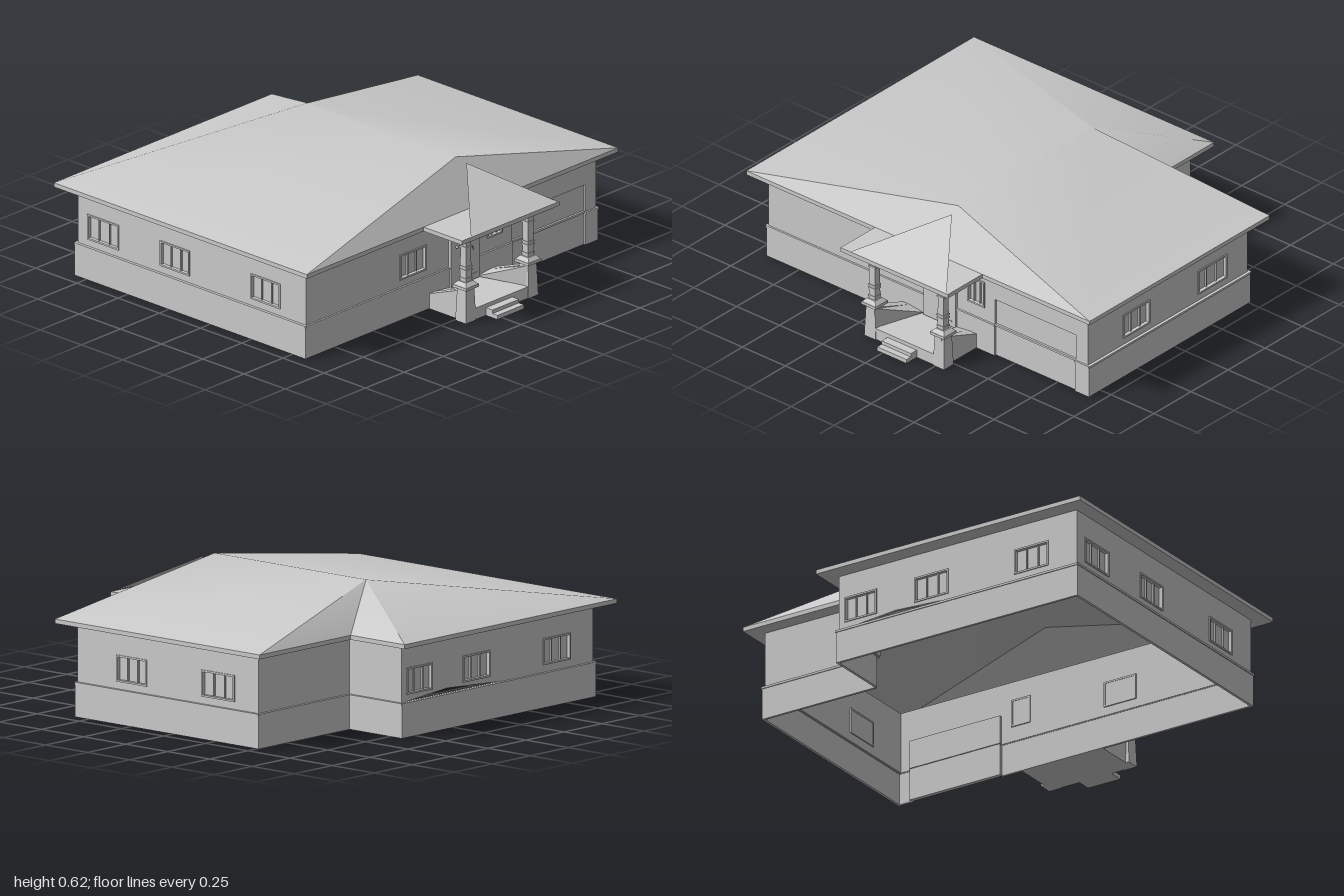
import * as THREE from 'three';
import { toCreasedNormals } from 'three/addons/utils/BufferGeometryUtils.js';

const mat = new THREE.MeshStandardMaterial({ color: 0xcccccc });
const thin = new THREE.MeshStandardMaterial({ color: 0xcccccc, side: THREE.DoubleSide });

function add(parent, name, geo, x = 0, y = 0, z = 0, m = mat) {
  const mesh = new THREE.Mesh(geo, m);
  mesh.name = name;
  mesh.position.set(x, y, z);
  parent.add(mesh);
  return mesh;
}

// Box given by its limits on each axis
function box(parent, name, x0, x1, y0, y1, z0, z1) {
  return add(parent, name, new THREE.BoxGeometry(x1 - x0, y1 - y0, z1 - z0),
    (x0 + x1) / 2, (y0 + y1) / 2, (z0 + z1) / 2);
}

const shapeOf = (pts) => new THREE.Shape(pts.map(([x, y]) => new THREE.Vector2(x, y)));
const rect = ([a, b, c, d]) => [[a, c], [b, c], [b, d], [a, d]];
const extrude = (shape, depth) => new THREE.ExtrudeGeometry(shape, { depth, bevelEnabled: false });

function surface(points, index) {
  const geo = new THREE.BufferGeometry();
  geo.setAttribute('position', new THREE.Float32BufferAttribute(points.flat(), 3));
  geo.setIndex(index);
  return toCreasedNormals(geo, 0.5);
}

// Group whose x runs along a wall and whose z points outwards
function wallFrame(parent, name, [x0, z0], [x1, z1]) {
  const g = new THREE.Group();
  g.name = name;
  g.position.set(x0, 0, z0);
  g.rotation.y = Math.atan2(z0 - z1, x1 - x0);
  parent.add(g);
  return [g, Math.hypot(x1 - x0, z1 - z0)];
}

// Recessed pane, frame and two mullions
function addWindow(parent, [a, b, c, d]) {
  const t = 0.008, g = new THREE.Group();
  g.name = 'window';
  parent.add(g);
  box(g, 'pane', a, b, c, d, -0.016, -0.012);
  for (const y of [c, d - t]) box(g, 'frameRail', a, b, y, y + t, -0.018, 0.005);
  for (const x of [a, b - t]) box(g, 'frameStile', x, x + t, c + t, d - t, -0.018, 0.005);
  for (const k of [1, 2]) {
    const x = a + (b - a) * k / 3;
    box(g, 'mullion', x - 0.003, x + 0.003, c + t, d - t, -0.014, -0.004);
  }
}

function addUpperWalls(house) {
  const corners = [[-0.81, 0.93], [0.575, 0.93], [0.575, -0.93], [-0.5, -0.93], [-0.5, -0.33], [-0.81, -0.33]];
  const names = ['front', 'right', 'back', 'inset', 'insetBack', 'left'];
  const windows = {
    front: [[0.06, 0.25], [0.5, 0.68], [1.05, 1.23]],
    right: [[0.6, 0.77], [1.16, 1.26, 0.22, 0.35]],
    back: [[0.235, 0.415], [0.74, 0.935]],
    left: [[0.03, 0.2], [0.4, 0.58], [0.93, 1.11]],
  };
  const openings = {
    right: [rect([1.32, 1.79, 0.16, 0.285])],          // garage
    left: [[[0.02, 0.158], [0.66, 0.158], [0.3, 0.18]]], // gap above the plinth
  };
  names.forEach((name, i) => {
    const [g, len] = wallFrame(house, name + 'Wall', corners[i], corners[(i + 1) % 6]);
    const wins = (windows[name] || []).map(([a, b, c = 0.19, d = 0.31]) => [a, b, c, d]);
    const shape = shapeOf(rect([0, len, 0.15, 0.43]));
    for (const h of [...wins.map(rect), ...(openings[name] || [])]) shape.holes.push(shapeOf(h));
    add(g, 'wallPanel', extrude(shape, 0.012), 0, 0, -0.012);
    wins.forEach((w) => addWindow(g, w));
  });
}

function addPlinth(house) {
  const c = [[-0.82, 0.94], [0.58, 0.94], [0.58, -0.94], [-0.51, -0.94], [-0.51, -0.34], [-0.82, -0.34]];
  const runs = [[c[0], c[1]], [c[1], [0.58, -0.39]], [[0.58, -0.86], c[2]],
    [c[2], c[3]], [c[3], c[4]], [c[4], c[5]], [c[5], c[0]]];
  for (const [p, q] of runs) {
    const [g, len] = wallFrame(house, 'plinth', p, q);
    box(g, 'plinthWall', 0, len, 0, 0.147, -0.012, 0);
    box(g, 'plinthLedge', 0, len, 0.147, 0.157, -0.014, 0.004);
  }
}

function addRoof(house) {
  const eave = [[-0.89, 1], [0.645, 1], [0.645, -1], [-0.57, -1], [-0.57, -0.4], [-0.89, -0.4]];
  // Corners 0-5 are the eave, 6 and 7 the ends of the ridge
  const pts = [...eave.map(([x, z]) => [x, 0.44, z]), [-0.4, 0.625, -0.11], [0.5, 0.625, -0.11]];
  add(house, 'roof', surface(pts,
    [0, 1, 7, 0, 7, 6, 1, 2, 7, 2, 3, 6, 2, 6, 7, 3, 4, 6, 4, 5, 6, 5, 0, 6]), 0, 0, 0, thin);
  // Eave board and soffit, open over the rooms
  const shape = shapeOf(eave.map(([x, z]) => [x, -z]));
  shape.holes.push(shapeOf([[-0.8, -0.92], [0.565, -0.92], [0.565, 0.92], [-0.49, 0.92], [-0.49, 0.32], [-0.8, 0.32]]));
  add(house, 'eave', extrude(shape, 0.02), 0, 0.42, 0).rotation.x = -Math.PI / 2;
}

function addDoors(house) {
  const door = new THREE.Group();
  door.name = 'frontDoor';
  house.add(door);
  box(door, 'doorLeaf', 0.57, 0.59, 0.06, 0.37, -0.17, 0.015);
  for (const y of [0.085, 0.36]) box(door, 'doorTrim', 0.589, 0.593, y, y + 0.005, -0.15, -0.06);
  add(door, 'knob', new THREE.SphereGeometry(0.007, 10, 8), 0.597, 0.25, -0.015);
  add(door, 'knocker', new THREE.TorusGeometry(0.02, 0.003, 6, 12, Math.PI), 0.594, 0.205, -0.105).rotation.y = Math.PI / 2;
  box(house, 'garageDoorTop', 0.55, 0.565, 0.153, 0.287, -0.865, -0.385);
  box(house, 'garageDoorBottom', 0.55, 0.57, 0, 0.15, -0.865, -0.385);
}

// Square tapered block; bottom and top are full widths
function block(parent, name, bottom, top, y0, y1) {
  const geo = new THREE.CylinderGeometry(top / Math.SQRT2, bottom / Math.SQRT2, y1 - y0, 4).toNonIndexed();
  geo.rotateY(Math.PI / 4);
  geo.computeVertexNormals();
  return add(parent, name, geo, 0, (y0 + y1) / 2, 0);
}

function addPorch(house) {
  const porch = new THREE.Group();
  porch.name = 'porch';
  house.add(porch);
  const mid = -0.07;
  box(porch, 'porchFloor', 0.575, 0.815, 0, 0.055, mid - 0.21, mid + 0.21);
  box(porch, 'upperStep', 0.81, 0.855, 0, 0.037, -0.14, 0.03);
  box(porch, 'lowerStep', 0.81, 0.885, 0, 0.02, -0.14, 0.03);

  for (const s of [1, -1]) {
    // Sloping side wall and the triangular face leaning in to the door
    const side = shapeOf([[0.575, 0], [0.815, 0], [0.815, 0.16], [0.575, 0.07]]);
    add(porch, 'sideWall', extrude(side, 0.04), 0, 0, mid + s * 0.195 - 0.02);
    const outer = mid + s * 0.175, inner = mid + s * 0.095;
    add(porch, 'sideSlope', surface(
      [[0.575, 0.07, outer], [0.575, 0.06, inner], [0.815, 0.056, outer], [0.815, 0.155, outer]],
      [0, 1, 3, 1, 2, 3]), 0, 0, 0, thin);

    // Pedestal, cap and stepped column
    const column = new THREE.Group();
    column.name = 'column';
    column.position.set(0.787, 0, mid + s * 0.2);
    porch.add(column);
    block(column, 'pedestal', 0.065, 0.053, 0, 0.162);
    block(column, 'capSlab', 0.084, 0.084, 0.16, 0.173);
    block(column, 'capSlope', 0.08, 0.048, 0.173, 0.19);
    block(column, 'shaft', 0.036, 0.032, 0.19, 0.425);
    for (const y of [0.2, 0.24, 0.255, 0.35, 0.405]) block(column, 'ring', 0.041, 0.041, y, y + 0.008);
  }

  // Flat canopy with a single sloping gable sheet over it
  box(porch, 'canopy', 0.577, 0.878, 0.42, 0.44, -0.375, 0.25);
  add(porch, 'canopySlope', surface(
    [[0.875, 0.442, 0.19], [0.875, 0.442, -0.365], [0.555, 0.608, -0.12]], [0, 1, 2]), 0, 0, 0, thin);
}

export function createModel() {
  const house = new THREE.Group();
  house.name = 'house';
  addPlinth(house);
  addUpperWalls(house);
  addRoof(house);
  addDoors(house);
  addPorch(house);
  return house;
}
